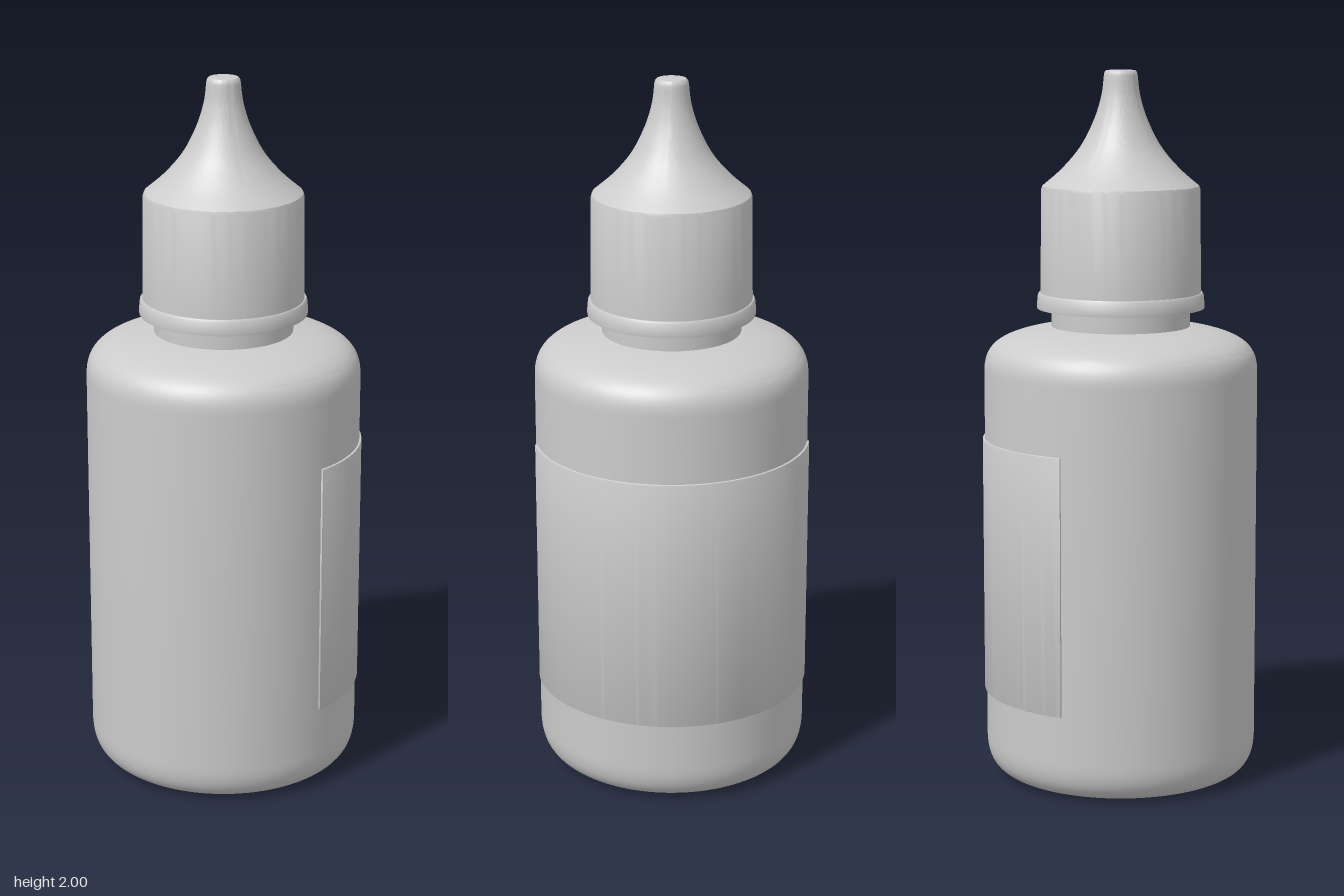
import * as THREE from 'three';
import { toCreasedNormals } from 'three/addons/utils/BufferGeometryUtils.js';

const V = (x, y) => new THREE.Vector2(x, y);
const material = new THREE.MeshStandardMaterial({ color: 0xcccccc });

function addPart(group, name, geometry) {
  const mesh = new THREE.Mesh(toCreasedNormals(geometry, 0.6), material);
  mesh.name = name;
  group.add(mesh);
}

// profiles run from the bottom up, as [radius, height]
const lathe = (points) => new THREE.LatheGeometry(points, 96);
const smooth = (pairs, n) => new THREE.SplineCurve(pairs.map(([r, y]) => V(r, y))).getPoints(n);
const bezier = (a, b, c, d, n) => new THREE.CubicBezierCurve(V(...a), V(...b), V(...c), V(...d)).getPoints(n);

export function createModel() {
  const group = new THREE.Group();
  group.name = 'dropperBottle';

  // bottle body: flat base, rounded heel, straight wall, domed shoulder
  const bodyR = 0.385;
  addPart(group, 'body', lathe([
    V(0, 0.005), V(0.2, 0.003),
    ...bezier([0.29, 0], [0.35, 0.003], [bodyR, 0.03], [bodyR, 0.11], 14),
    ...bezier([bodyR, 1.16], [bodyR, 1.235], [0.345, 1.265], [0.195, 1.287], 18),
  ]));

  // neck
  addPart(group, 'neck', lathe([V(0.195, 1.27), V(0.195, 1.36)]));

  // tamper ring under the cap
  addPart(group, 'collarRing', lathe([
    V(0.19, 1.338), V(0.235, 1.338), V(0.236, 1.345), V(0.233, 1.376), V(0.229, 1.382), V(0.222, 1.382),
  ]));

  // cap skirt with a slight taper
  addPart(group, 'cap', lathe([V(0.226, 1.378), V(0.222, 1.672), V(0.219, 1.68)]));

  // concave nozzle with a softly rounded tip
  addPart(group, 'nozzle', lathe([
    ...smooth([[0.219, 1.68], [0.165, 1.727], [0.112, 1.79], [0.074, 1.865], [0.054, 1.93], [0.047, 1.985]], 36),
    V(0.045, 1.994), V(0.04, 1.999), V(0.03, 2), V(0, 2),
  ]));

  // curved label wrapped round the left side, as an extruded arc
  const rad = THREE.MathUtils.degToRad;
  const start = rad(-68.5), end = rad(94.5), bevel = 0.002;
  const arc = new THREE.Shape();
  arc.absarc(0, 0, bodyR + 0.004, start, end, false);
  arc.absarc(0, 0, bodyR - 0.008, end, start, true);
  const label = new THREE.ExtrudeGeometry(arc, {
    depth: 0.722, curveSegments: 64, bevelEnabled: true, bevelSize: bevel, bevelThickness: bevel, bevelSegments: 2,
  });
  label.rotateX(-Math.PI / 2).translate(0, 0.247, 0);
  addPart(group, 'label', label);

  // the label's thickness shifts the bottle slightly off centre
  group.position.x = -0.003;
  return group;
}
